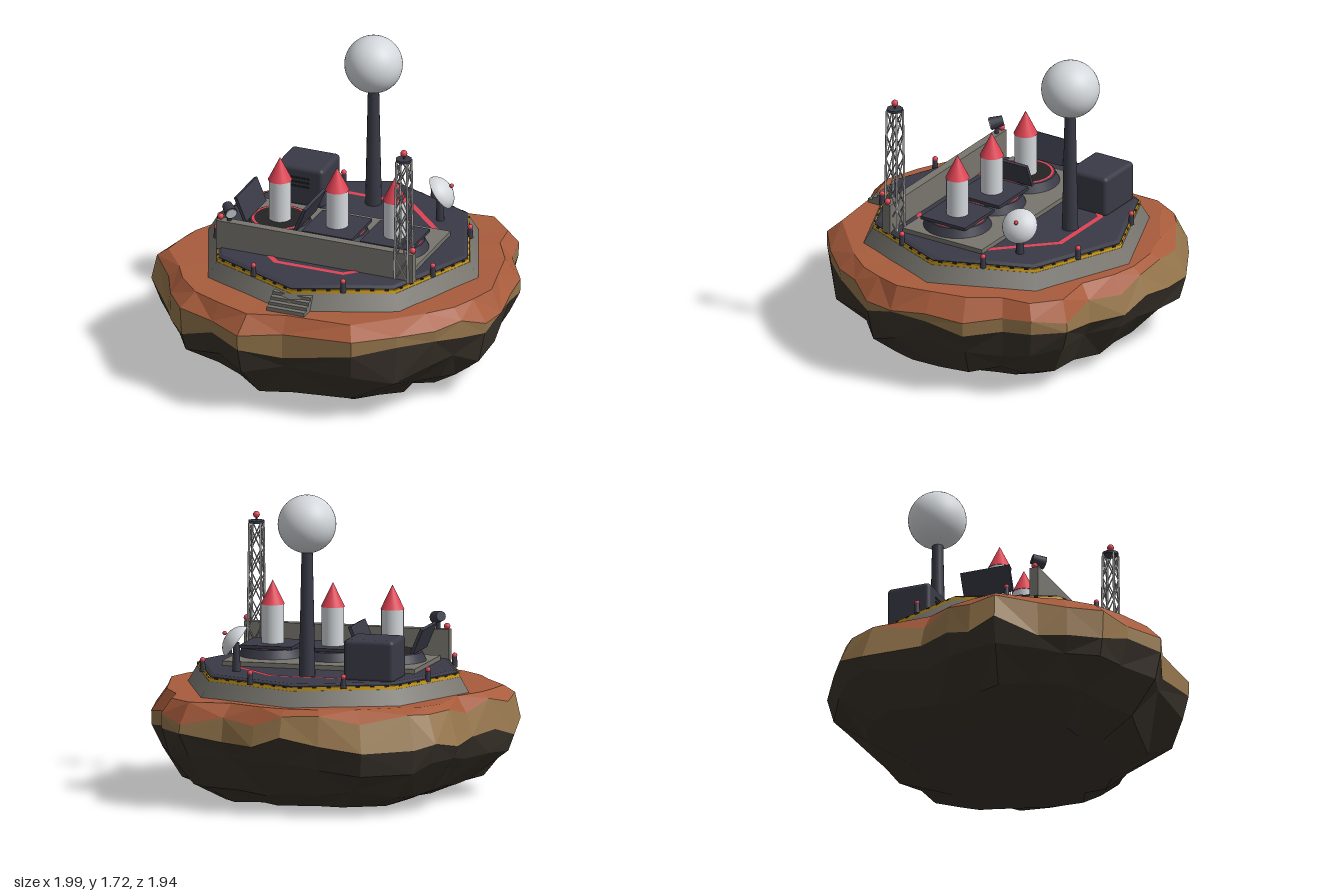
import * as THREE from 'three';
import { RoundedBoxGeometry } from 'three/addons/geometries/RoundedBoxGeometry.js';

const mat = (name, color, extra = {}) => Object.assign(new THREE.MeshStandardMaterial({ color, ...extra }), { name });
const rust = mat('rust rock', 0xa85c3c, { flatShading: true });
const tan = mat('tan rock', 0x97774d, { flatShading: true });
const darkRock = mat('dark rock', 0x3a332b, { flatShading: true });
const concrete = mat('concrete', 0x78756e);
const navy = mat('navy metal', 0x3a3a47);
const red = mat('signal red', 0xe04353);
const white = mat('pale shell', 0xd4d8dc, { side: THREE.DoubleSide });
const yellow = mat('hazard yellow', 0xd6a21a);
const steel = mat('steel', 0xb4b4b4);
const black = mat('black', 0x232324);

const CX = 0.012, CZ = -0.036, DECK = 0.712;

function add(parent, name, geometry, material, x = 0, y = 0, z = 0) {
  const m = new THREE.Mesh(geometry, material);
  m.name = name;
  m.position.set(x, y, z);
  parent.add(m);
  return m;
}
function group(parent, name, x = 0, y = 0, z = 0) {
  const g = new THREE.Group();
  g.name = name;
  g.position.set(x, y, z);
  parent.add(g);
  return g;
}
const box = (w, h, d) => new THREE.BoxGeometry(w, h, d);
const cyl = (rt, rb, h, n = 24) => new THREE.CylinderGeometry(rt, rb, h, n);
const ball = (r, n = 16) => new THREE.SphereGeometry(r, n, n / 2);

// A straight rod between two points
function rod(parent, name, a, b, r, material) {
  const dir = b.clone().sub(a);
  const m = add(parent, name, cyl(r, r, dir.length(), 12), material);
  m.position.copy(a).addScaledVector(dir, 0.5);
  m.quaternion.setFromUnitVectors(new THREE.Vector3(0, 1, 0), dir.normalize());
}

// Floating rock: scaled copies of one outline stacked as rings
function rock(parent) {
  const outline = [
    [-.19, -.97], [.03, -.97], [.2, -.94], [.4, -.84], [.64, -.845], [.78, -.7], [.81, -.53], [.935, -.35],
    [.97, -.13], [1, .08], [.98, .25], [.89, .385], [.8, .545], [.64, .71], [.435, .865], [.03, .88],
    [-.2, .97], [-.4, .855], [-.61, .8], [-.74, .64], [-.82, .5], [-.99, .31], [-1, .16], [-.935, 0],
    [-.86, -.19], [-.865, -.53], [-.79, -.7], [-.69, -.78], [-.43, -.935]];
  let seed = 7;
  const rnd = () => ((seed = (seed * 16807) % 2147483647) / 2147483647) * 2 - 1;
  // height, scale, height jitter, scale jitter, inset of the back left rim, x shift, slope along x, colour above
  const rings = [
    [0, .57, 0, .04, 0, .04, 0, darkRock], [.1, .79, .03, .035, 0, .01, 0, darkRock],
    [.26, .95, .04, .02, 0, 0, 0, darkRock], [.4, .995, .045, .005, 0, 0, .03, tan],
    [.495, 1, .035, 0, .05, 0, 0, rust], [.588, .92, .002, .025, .04, 0, 0, rust]];
  const n = outline.length;
  const pts = rings.map(([y, s, dy, ds, inset, shift, slope]) => outline.map(([x, z]) => {
    const back = inset * Math.max(0, -x - z);
    const k = s + rnd() * ds - back;
    return [x * k + shift, Math.min(.59, y + rnd() * dy + back * .6 + slope * x), z * k];
  }));
  const bands = new Map([[rust, []], [tan, []], [darkRock, []]]);
  for (let i = 0; i < n; i++) {
    const j = (i + 1) % n;
    for (let r = 0; r < rings.length - 1; r++) {
      const a = pts[r][i], b = pts[r + 1][i], c = pts[r + 1][j], d = pts[r][j];
      const out = bands.get(rings[r][7]);
      if ((i + r) % 2) out.push(...a, ...b, ...c, ...a, ...c, ...d);
      else out.push(...a, ...b, ...d, ...b, ...c, ...d);
    }
    bands.get(rust).push(0, .59, 0, ...pts[5][j], ...pts[5][i]);
    bands.get(darkRock).push(.04, 0, 0, ...pts[0][i], ...pts[0][j]);
  }
  const g = group(parent, 'rock');
  for (const [m, p] of bands) {
    const geo = new THREE.BufferGeometry();
    geo.setAttribute('position', new THREE.Float32BufferAttribute(p, 3));
    geo.computeVertexNormals();
    add(g, m.name, geo, m);
  }
}

// Octagonal foundation, deck, hazard edge, painted line and edge lights
function platform(parent) {
  const g = group(parent, 'platform', CX, 0, CZ);
  const prism = (name, rt, rb, y0, y1, m) => add(g, name, cyl(rt, rb, y1 - y0, 8), m, 0, (y0 + y1) / 2, 0);
  prism('foundation', .752, .81, .575, .675, concrete);
  prism('hazardEdge', .75, .75, .67, .695, yellow);
  prism('deckBase', .741, .741, .67, .7, navy);
  prism('deck', .72, .741, .7, DECK, navy);
  const line = add(g, 'paintedLine', new THREE.RingGeometry(.508, .54, 8, 1, Math.PI / 8), red, 0, DECK + .003, 0);
  line.rotation.x = -Math.PI / 2;
  for (let i = 0; i < 8; i++) {
    const side = group(g, 'deckSide');
    side.rotation.y = Math.PI / 8 + i * Math.PI / 4;
    for (let k = -3; k <= 3; k++) add(side, 'hazardDash', box(.025, .008, .008), black, k * .08, .692, .69);
    add(side, 'edgeLightPost', cyl(.013, .017, .06, 12), navy, 0, .715, .696);
    add(side, 'edgeLight', ball(.015), red, 0, .75, .696);
  }
  for (let i = 0; i < 4; i++) {
    const top = .665 - i * .018;
    add(parent, 'step', box(.225, top - .575, .035), concrete, .015, (top + .575) / 2, .69 + i * .03);
  }
}

// Launch silo with two half doors, either open or closed
function silo(parent, x, open) {
  const g = group(parent, 'silo', x, .735, .06);
  add(g, 'collar', cyl(.165, .19, .05, 32), navy, 0, .025, 0);
  for (const [name, geo, m, y] of [
    ['mouth', new THREE.CircleGeometry(.146, 32), black, .052],
    ['warningRing', new THREE.RingGeometry(.142, .158, 32), red, .054]]) {
    add(g, name, geo, m, 0, y, 0).rotation.x = -Math.PI / 2;
  }
  add(g, 'rocketBody', cyl(.062, .062, .25, 24), white, 0, .16, 0);
  add(g, 'rocketNose', new THREE.ConeGeometry(.066, .135, 24), red, 0, .3525, 0);
  for (const s of [-1, 1]) {
    const hinge = group(g, 'doorHinge', s * .148, .062, 0);
    hinge.rotation.z = open ? -s * 1.97 : 0;
    add(hinge, 'door', box(.148, .018, .29), navy, -s * .074, 0, 0);
  }
}

// Lattice tower with a capped beacon
function tower(parent) {
  const g = group(parent, 'latticeTower', .535, 0, .355);
  const y0 = .7, y1 = 1.42, bays = 5;
  const corner = (i, t) => {
    const h = .04 - .008 * t, a = Math.PI / 4 + i * Math.PI / 2;
    return new THREE.Vector3(Math.sign(Math.cos(a)) * h, y0 + (y1 - y0) * t, Math.sign(Math.sin(a)) * h);
  };
  for (let i = 0; i < 4; i++) {
    rod(g, 'towerLeg', corner(i, 0), corner(i, 1), .006, steel);
    for (let k = 0; k < bays; k++) {
      const a = k / bays, b = (k + 1) / bays;
      rod(g, 'brace', corner(i, a), corner(i + 1, b), .0035, steel);
      rod(g, 'brace', corner(i + 1, a), corner(i, b), .0035, steel);
    }
  }
  add(g, 'towerCap', cyl(.046, .046, .014, 8), navy, 0, 1.425, 0);
  add(g, 'beaconStem', cyl(.005, .005, .03, 12), navy, 0, 1.442, 0);
  add(g, 'beacon', ball(.019), red, 0, 1.464, 0);
}

// Tilted domed antenna on a post
function antenna(parent) {
  add(parent, 'antennaPost', cyl(.018, .024, .17, 12), navy, .435, .785, -.4);
  const g = group(parent, 'antenna', .437, .875, -.4);
  g.quaternion.setFromUnitVectors(new THREE.Vector3(0, 1, 0), new THREE.Vector3(.77, .6, -.2).normalize());
  const profile = [[.1, 0], [.094, .018], [.078, .037], [.054, .053], [.028, .062], [0, .065]].map(p => new THREE.Vector2(...p));
  add(g, 'antennaDome', new THREE.LatheGeometry(profile, 28), white);
  add(g, 'antennaTip', ball(.012), red, 0, .078, 0);
}

export function createModel() {
  const model = new THREE.Group();
  model.name = 'launchBase';
  rock(model);
  platform(model);

  // Launch pad with one open and two closed silos
  add(model, 'launchPad', box(1.1, .035, .52), concrete, .015, .72, .025);
  [-.325, .015, .358].forEach((x, i) => silo(model, x, i === 0));

  // Blast wall with end lights and a floodlight
  add(model, 'blastWall', box(1.168, .172, .05), concrete, .018, .786, .367);
  for (const x of [-.55, .592]) add(model, 'wallLight', ball(.018), red, x, .888, .365);
  rod(model, 'floodlightPost', new THREE.Vector3(-.5, .86, .365), new THREE.Vector3(-.5, .93, .365), .012, navy);
  const lamp = group(model, 'floodlight', -.5, .938, .365);
  lamp.quaternion.setFromUnitVectors(new THREE.Vector3(0, 1, 0), new THREE.Vector3(.6, -.22, .7).normalize());
  add(lamp, 'lampHousing', cyl(.036, .028, .075, 16), navy);
  add(lamp, 'lampLens', cyl(.03, .03, .006, 16), white, 0, .038, 0);

  tower(model);
  antenna(model);

  // Radar globe on a tapered mast
  add(model, 'mast', cyl(.03, .046, .75, 16), navy, .016, 1.07, -.455);
  add(model, 'radarGlobe', ball(.161, 40), white, .016, 1.555, -.457);

  // Equipment bunker with front vents
  add(model, 'bunker', new RoundedBoxGeometry(.287, .235, .257, 3, .025), navy, -.357, .8175, -.412);
  for (let i = 0; i < 3; i++) add(model, 'vent', box(.12, .012, .006), black, -.357, .82 + i * .025, -.283);
  return model;
}
